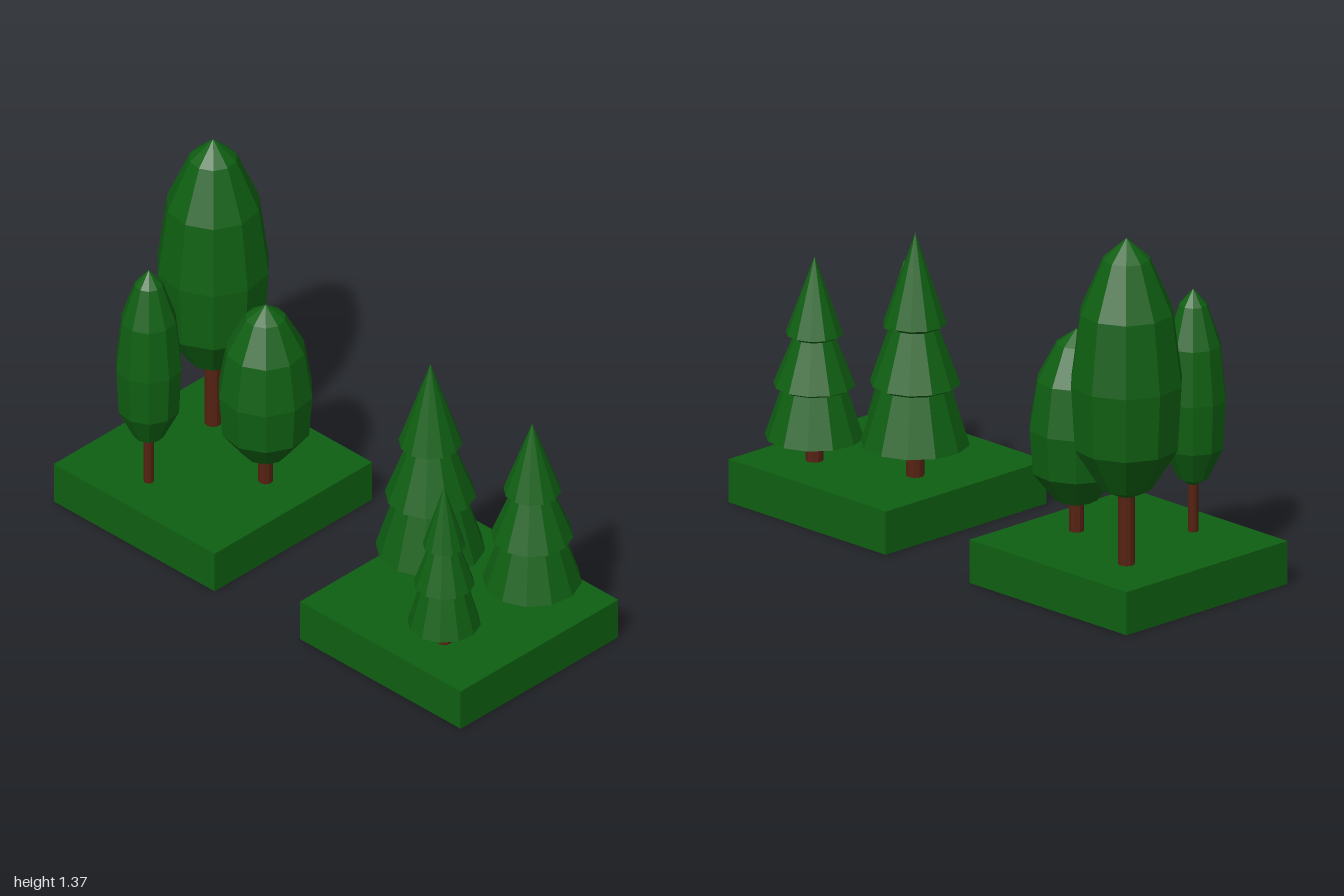
import * as THREE from 'three';

const green = new THREE.MeshStandardMaterial({ color: 0x0f5f12, flatShading: true });
const brown = new THREE.MeshStandardMaterial({ color: 0x552211, flatShading: true });

const BASE_TOP = 0.16;

// Crown profiles from bottom to top: [fraction of radius, fraction of height]
const ROUND = [[0, 0], [0.45, 0.045], [0.93, 0.205], [1, 0.45], [0.83, 0.72], [0.42, 0.92], [0, 1]];
const TIERED = [
  [0, 0], [1, 0.05],
  [0.66, 0.305], [0.83, 0.325],
  [0.43, 0.575], [0.58, 0.595],
  [0, 1],
];

function add(parent, name, geometry, material, x, y, z) {
  const mesh = new THREE.Mesh(geometry, material);
  mesh.name = name;
  mesh.position.set(x, y, z);
  parent.add(mesh);
  return mesh;
}

// A trunk standing on the base with a faceted lathed crown
function addTree(parent, name, profile, sides, { x, z, r, bottom, top, trunk }) {
  const tree = new THREE.Group();
  tree.name = name;
  tree.position.set(x, 0, z);
  parent.add(tree);

  const height = top - bottom;
  const points = profile.map(([pr, ph]) => new THREE.Vector2(pr * r, ph * height));
  const crown = add(tree, 'crown', new THREE.LatheGeometry(points, sides), green, 0, bottom, 0);
  crown.rotation.y = Math.PI / (2 * sides);

  const trunkTop = bottom + 0.06;
  const trunkHeight = trunkTop - BASE_TOP + 0.02;
  add(tree, 'trunk', new THREE.CylinderGeometry(trunk, trunk, trunkHeight, 10), brown,
    0, trunkTop - trunkHeight / 2, 0);
}

export function createModel() {
  const model = new THREE.Group();
  model.name = 'treePlots';

  // Two square ground blocks
  for (const side of [-1, 1]) {
    add(model, side < 0 ? 'rightGround' : 'leftGround',
      new THREE.BoxGeometry(0.79, BASE_TOP, 0.79), green, side * 0.605, BASE_TOP / 2, 0);
  }

  // Rounded trees
  [
    { x: -0.78, z: -0.18, r: 0.204, bottom: 0.4, top: 1.37, trunk: 0.03 },
    { x: -0.4, z: -0.055, r: 0.172, bottom: 0.25, top: 0.91, trunk: 0.027 },
    { x: -0.69, z: 0.235, r: 0.12, bottom: 0.325, top: 1.06, trunk: 0.018 },
  ].forEach((t, i) => addTree(model, `roundTree${i + 1}`, ROUND, 10, t));

  // Three-tiered conifers
  [
    { x: 0.42, z: -0.045, r: 0.194, bottom: 0.24, top: 1.06, trunk: 0.032 },
    { x: 0.785, z: -0.183, r: 0.176, bottom: 0.215, top: 0.915, trunk: 0.032 },
    { x: 0.74, z: 0.213, r: 0.13, bottom: 0.21, top: 0.82, trunk: 0.028 },
  ].forEach((t, i) => addTree(model, `conifer${i + 1}`, TIERED, 12, t));

  return model;
}
